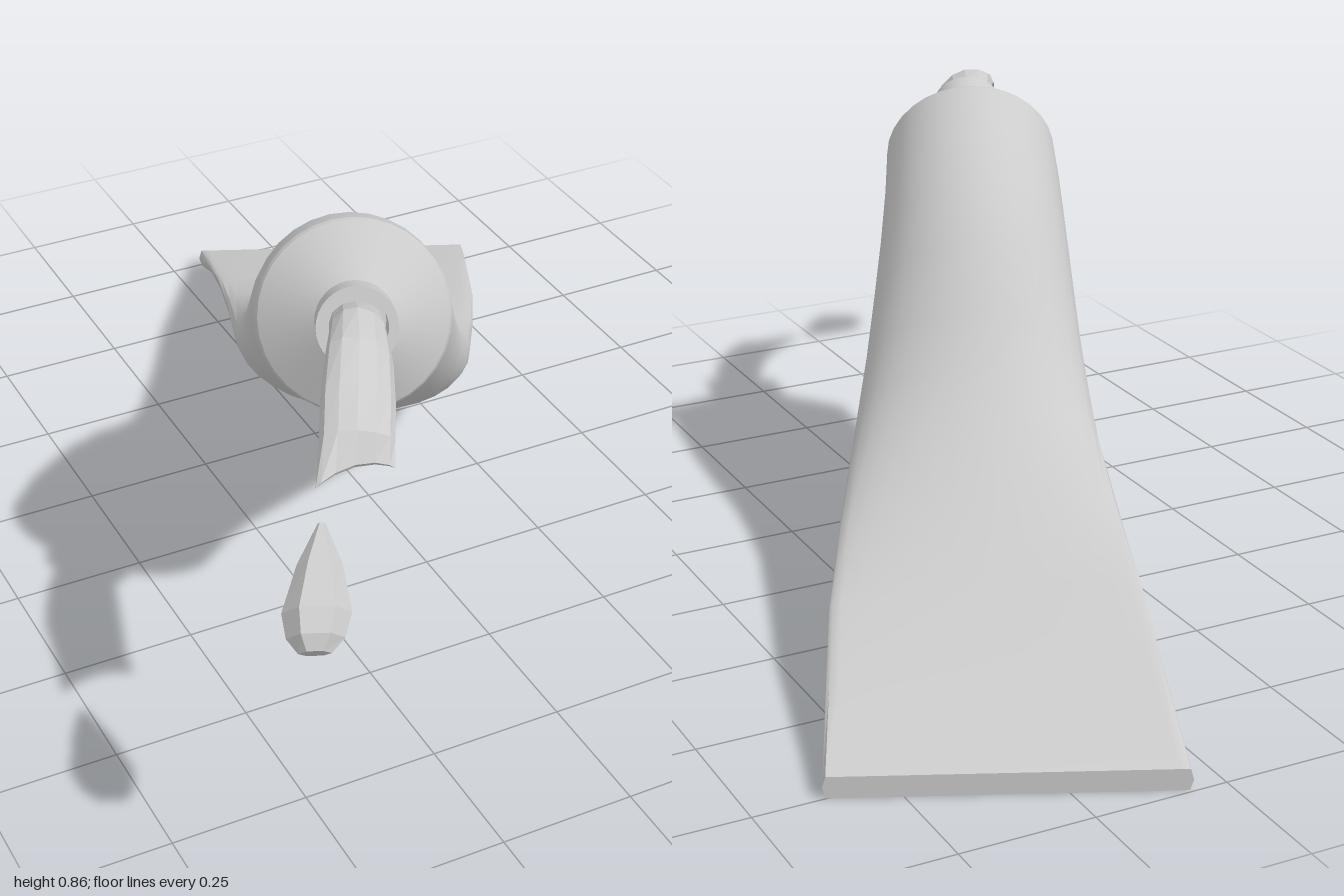
import * as THREE from 'three';
import { toCreasedNormals } from 'three/addons/utils/BufferGeometryUtils.js';

// Lofts rings along z. Row: [z, x, y, halfWidth, up, down, edge, roll, pitch]
// up/down: bulge above and below the side edges; edge: half thickness at the sides;
// roll: sideways slope; pitch: tilt of the ring in radians.
function loft(rows, sides, capEnd) {
  const pos = [], index = [];
  for (const [z, x, y, hw, up, down, edge, roll, pitch] of rows) {
    for (let j = 0; j < sides; j++) {
      const a = (j / sides) * Math.PI * 2, sn = Math.sin(a);
      const w = hw * Math.cos(a);
      const h = (sn > 0 ? up : down) * sn + edge * THREE.MathUtils.clamp(6 * sn, -1, 1) - roll * w;
      pos.push(x + w, y + h * Math.cos(pitch), z - h * Math.sin(pitch));
    }
  }
  for (let i = 0; i < rows.length - 1; i++) {
    for (let j = 0; j < sides; j++) {
      const k = (j + 1) % sides;
      const a = i * sides + j, b = i * sides + k, c = b + sides, d = a + sides;
      index.push(a, b, c, a, c, d);
    }
  }
  // Close an end by strips between the upper and lower halves
  const cap = (base, flip) => {
    for (let j = 0; j < sides / 2; j++) {
      const a = base + j, b = base + j + 1;
      const c = base + (sides - j - 1) % sides, d = base + (sides - j) % sides;
      if (flip) index.push(a, c, b, a, d, c);
      else index.push(a, b, c, a, c, d);
    }
  };
  cap(0, true);
  if (capEnd) cap((rows.length - 1) * sides, false);
  const g = new THREE.BufferGeometry();
  g.setAttribute('position', new THREE.Float32BufferAttribute(pos, 3));
  g.setIndex(index);
  return g;
}

export function createModel() {
  const model = new THREE.Group();
  model.name = 'squeezedTube';

  // Local frame: z runs from the flat crimp to the nozzle, x across
  const tube = new THREE.Group();
  tube.name = 'tubeAssembly';
  tube.position.set(0.343, 0, -0.872);
  tube.rotation.y = -0.42;
  model.add(tube);

  const smooth = new THREE.MeshStandardMaterial({ color: 0xcccccc, side: THREE.DoubleSide });
  const faceted = new THREE.MeshStandardMaterial({ color: 0xcccccc, flatShading: true, side: THREE.DoubleSide });
  const add = (name, geometry, material) => {
    const mesh = new THREE.Mesh(geometry, material);
    mesh.name = name;
    tube.add(mesh);
    return mesh;
  };

  // Flexible body: flat crimp, flattened middle, round front
  const body = loft([
    [0.00, 0.000, 0.020, 0.307, 0.000, 0.000, 0.020, 0.00, 0.00],
    [0.20, 0.010, 0.102, 0.290, 0.000, 0.063, 0.006, 0.05, 0.10],
    [0.40, 0.018, 0.174, 0.275, 0.005, 0.112, 0.003, 0.09, 0.20],
    [0.60, 0.020, 0.228, 0.256, 0.040, 0.138, 0.001, 0.11, 0.33],
    [0.80, 0.016, 0.282, 0.236, 0.112, 0.128, 0, 0.10, 0.48],
    [0.90, 0.012, 0.334, 0.224, 0.136, 0.125, 0, 0.09, 0.60],
    [1.00, 0.007, 0.405, 0.210, 0.160, 0.122, 0, 0.08, 0.69],
    [1.10, 0.002, 0.494, 0.197, 0.183, 0.138, 0, 0.05, 0.71],
    [1.19, -0.002, 0.575, 0.186, 0.185, 0.153, 0, 0.03, 0.66],
    [1.29, -0.005, 0.650, 0.177, 0.178, 0.166, 0, 0.01, 0.53],
    [1.385, -0.005, 0.702, 0.171, 0.171, 0.171, 0, 0, 0.42],
  ], 32, false);
  add('tubeBody', toCreasedNormals(body, 0.8), smooth);

  // Conical shoulder and hollow nozzle
  const turned = (name, points) => {
    const lathe = new THREE.LatheGeometry(points.map(([r, h]) => new THREE.Vector2(r, h)), 32);
    const mesh = add(name, toCreasedNormals(lathe, 0.5), smooth);
    mesh.position.set(-0.005, 0.702, 1.385);
    mesh.rotation.x = Math.PI / 2 - 0.42;
  };
  turned('shoulder', [[0.171, 0], [0.167, 0.008], [0.07, 0.072]]);
  turned('nozzle', [[0.07, 0.06], [0.07, 0.16], [0.053, 0.16], [0.053, 0.07], [0, 0.07]]);

  // Arched ribbon of paste, hollow below
  const paste = loft([
    [1.46, -0.004, 0.735, 0.046, 0.036, -0.005, 0, 0, 0.40],
    [1.55, -0.004, 0.766, 0.049, 0.048, -0.008, 0, 0.10, 0.20],
    [1.63, -0.006, 0.768, 0.056, 0.046, -0.010, 0, 0.20, -0.08],
    [1.72, -0.012, 0.748, 0.061, 0.040, -0.010, 0, 0.22, -0.30],
    [1.79, -0.017, 0.718, 0.061, 0.030, -0.008, 0, 0.12, -0.45],
    [1.85, -0.022, 0.685, 0.064, 0.018, -0.010, 0, 0, -0.55],
  ], 12, true);
  // Ragged, slanted end: the outer points reach further than the middle
  const p = paste.attributes.position;
  for (let j = 0; j < 12; j++) {
    const i = p.count - 12 + j;
    p.setZ(i, p.getZ(i) - 0.025 * Math.sin((j / 6) * Math.PI) ** 2 - 0.4 * (p.getX(i) + 0.022));
  }
  add('pasteRibbon', paste, faceted);

  // Falling drop, pointed at the back and blunt at the front
  const drop = loft([
    [1.905, -0.078, 0.640, 0.006, 0.006, 0.006, 0, 0, -0.65],
    [1.960, -0.083, 0.602, 0.036, 0.030, 0.028, 0, 0, -0.65],
    [2.025, -0.090, 0.558, 0.055, 0.044, 0.042, 0, 0, -0.65],
    [2.060, -0.093, 0.536, 0.046, 0.036, 0.036, 0, 0, -0.65],
    [2.080, -0.095, 0.522, 0.026, 0.018, 0.016, 0, 0, -0.65],
  ], 6, true);
  add('pasteDrop', drop, faceted);

  return model;
}
